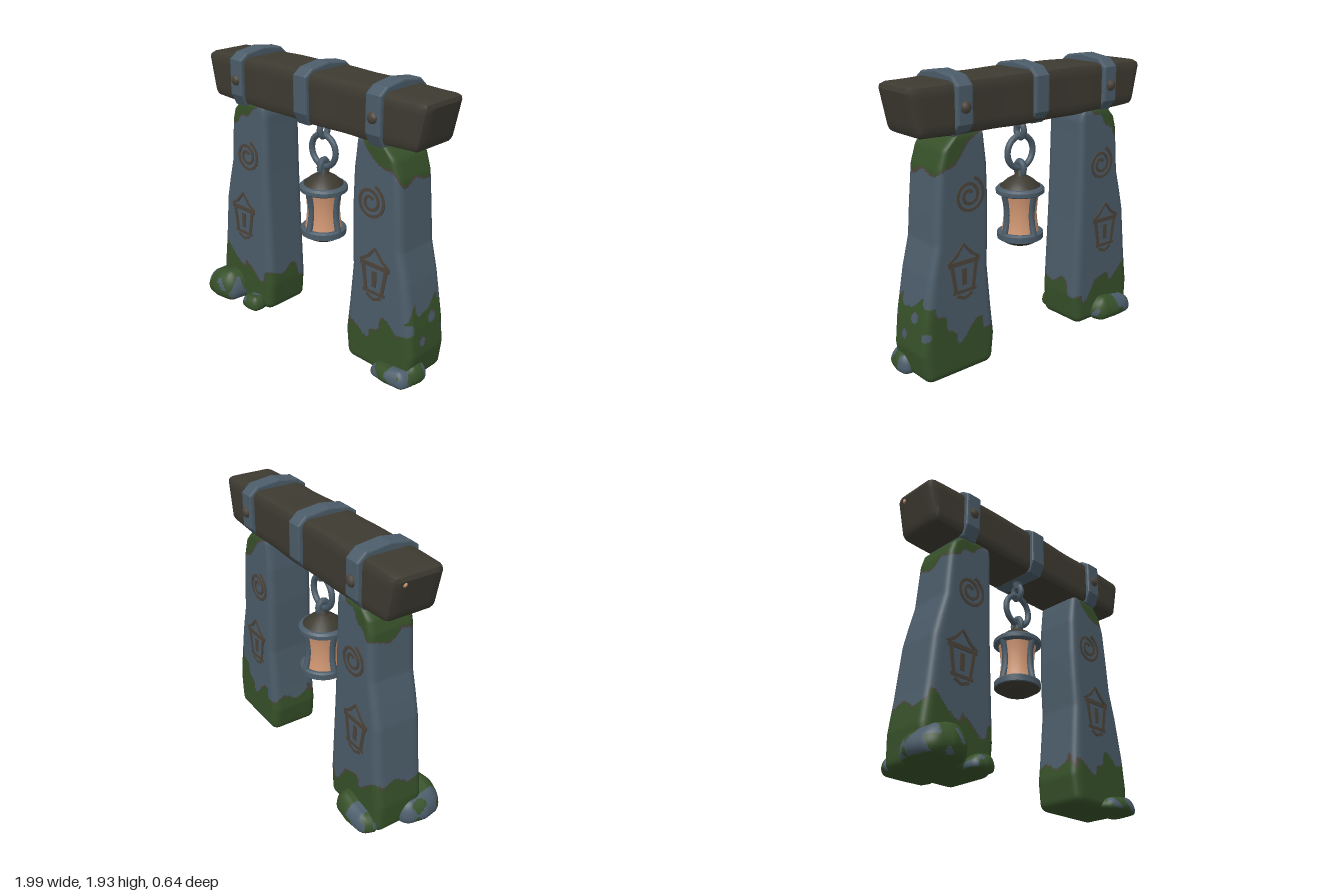
import * as THREE from 'three';
import { mergeVertices, toCreasedNormals } from 'three/addons/utils/BufferGeometryUtils.js';

const MID_Z = -0.035;
const material = (name, color) => Object.assign(new THREE.MeshStandardMaterial({ color }), { name });
const { clamp, lerp, smoothstep } = THREE.MathUtils;

// Rounded block, subdivided, whose vertices are then moved by a rule
function block(w, h, d, segs, r, rule) {
  let g = new THREE.BoxGeometry(w, h, d, ...segs);
  g.deleteAttribute('uv');
  g.deleteAttribute('normal');
  g.clearGroups();
  g = mergeVertices(g, 1e-4);
  const pos = g.attributes.position;
  const p = new THREE.Vector3(), q = new THREE.Vector3();
  const inner = new THREE.Vector3(w / 2 - r, h / 2 - r, d / 2 - r);
  const low = inner.clone().negate();
  for (let i = 0; i < pos.count; i++) {
    p.fromBufferAttribute(pos, i);
    q.copy(p).clamp(low, inner);
    p.sub(q);
    if (p.length() > r) p.setLength(r);
    p.add(q);
    rule(p);
    pos.setXYZ(i, p.x, p.y, p.z);
  }
  g.computeVertexNormals();
  return g;
}

// Sort faces into material groups by a rule on the face centre
function paint(g, pick) {
  const pos = g.attributes.position, idx = g.index.array, buckets = [[], [], []];
  const c = new THREE.Vector3(), v = new THREE.Vector3();
  for (let i = 0; i < idx.length; i += 3) {
    c.set(0, 0, 0);
    for (let k = 0; k < 3; k++) c.add(v.fromBufferAttribute(pos, idx[i + k]));
    buckets[pick(c.divideScalar(3))].push(idx[i], idx[i + 1], idx[i + 2]);
  }
  g.setIndex(buckets.flat());
  let start = 0;
  buckets.forEach((b, m) => { g.addGroup(start, b.length, m); start += b.length; });
  return g;
}

const noise = (p) => (Math.sin(17 * p.x + 7 * p.z + 1) + Math.sin(31 * p.z - 23 * p.x + 2)
  + 0.8 * Math.sin(29 * p.y + 37 * p.x + 11 * p.z)) / 2.4;

// Positive where moss grows on a pillar
function mossField(p) {
  const ax = Math.abs(p.x), n = noise(p);
  const side = p.x > 0 ? smoothstep(p.x, 0.82, 0.92) : 0;
  let base = 0.29 + 0.09 * n + 0.1 * clamp((ax - 0.6) / 0.3, -0.4, 1) + 0.16 * side - p.y;
  if (p.y > 0.2) base -= 0.5 * side * Math.max(0, Math.sin(27 * p.y + 4 * p.z) * Math.sin(29 * p.z + 1) - 0.25);
  const top = p.y - (1.52 - 0.15 * (ax - 0.55) / 0.2 + 0.04 * n);
  return Math.max(base, top);
}

// Flat raised line following 2D points
function stroke(points, width, mat) {
  const a = [], b = [];
  points.forEach((p, i) => {
    const t = points[Math.min(i + 1, points.length - 1)].clone().sub(points[Math.max(i - 1, 0)]).setLength(width / 2);
    a.push(new THREE.Vector2(p.x - t.y, p.y + t.x));
    b.unshift(new THREE.Vector2(p.x + t.y, p.y - t.x));
  });
  const g = new THREE.ExtrudeGeometry(new THREE.Shape([...a, ...b]), { depth: 0.009, bevelEnabled: false });
  return new THREE.Mesh(g, mat);
}

// Pillar outlines: height, left x, right x
const OUTLINES = {
  rightPillar: [[0, -0.9, -0.37], [0.22, -0.91, -0.35], [0.45, -0.88, -0.36], [0.8, -0.845, -0.375],
    [0.95, -0.81, -0.38], [1.1, -0.77, -0.385], [1.42, -0.745, -0.39], [1.5, -0.72, -0.39], [1.59, -0.63, -0.41]],
  leftPillar: [[0, 0.41, 0.93], [0.2, 0.385, 0.955], [0.4, 0.405, 0.935], [0.7, 0.43, 0.88],
    [0.9, 0.42, 0.83], [1.1, 0.415, 0.815], [1.36, 0.42, 0.79], [1.48, 0.435, 0.75], [1.59, 0.45, 0.64]],
};

function span(table, y) {
  let i = 1;
  while (i < table.length - 1 && table[i][0] < y) i++;
  const [a, b] = [table[i - 1], table[i]], t = clamp((y - a[0]) / (b[0] - a[0]), 0, 1);
  return [lerp(a[1], b[1], t), lerp(a[2], b[2], t)];
}

export function createModel() {
  const stone = material('blue grey stone', 0x4b5c69);
  const moss = material('moss green', 0x365029);
  const earth = material('carved brown', 0x4b443b);
  const wood = material('dark wood', 0x3d3a31);
  const glow = material('lantern glow', 0xd09672);
  const model = new THREE.Group();
  const add = (parent, name, geometry, mat, x = 0, y = 0, z = 0) => {
    const m = new THREE.Mesh(geometry, mat);
    m.name = name;
    m.position.set(x, y, z);
    parent.add(m);
    return m;
  };
  const pts = (...list) => list.map(([x, y]) => new THREE.Vector2(x, y));

  // Stone pillars with mossy feet and tops
  for (const [name, table] of Object.entries(OUTLINES)) {
    const g = block(0.5, 1.59, 0.37, [34, 106, 24], 0.055, (p) => {
      const y = p.y + 0.795, [x0, x1] = span(table, y);
      p.set((x0 + x1) / 2 + p.x / 0.25 * (x1 - x0) / 2, y, MID_Z + p.z * (1 - 0.07 * y));
    });
    paint(g, (p) => { const f = mossField(p); return f > 0 ? 1 : f > -0.012 ? 2 : 0; });
    add(model, name, g, [stone, moss, earth]);
  }

  // Carvings on the front and back of both pillars
  const spiral = Array.from({ length: 50 }, (_, i) => {
    const t = i / 49, r = 0.025 + 0.09 * t, a = 0.6 + t * Math.PI * 4.2;
    return new THREE.Vector2(r * Math.cos(a), r * Math.sin(a));
  });
  const emblem = [
    [pts([-0.12, 0.1], [-0.06, 0.14], [0, 0.21], [0.06, 0.14], [0.12, 0.1]), 0.02],
    [pts([-0.12, 0.09], [0.12, 0.09]), 0.03],
    [pts([-0.095, 0.09], [-0.065, -0.1]), 0.026],
    [pts([0.095, 0.09], [0.065, -0.1]), 0.026],
    [pts([-0.09, -0.1], [0.09, -0.1]), 0.022],
    [pts([-0.06, -0.125], [0, -0.15], [0.06, -0.125]), 0.022],
    [pts([0, -0.06], [0, -0.02], [0, 0.05]), 0.036],
  ];
  for (const s of [-1, 1]) for (const face of [1, -1]) {
    const place = (name, x, y, strokes) => {
      const c = new THREE.Group();
      c.name = name;
      c.position.set(s * x, y, MID_Z + face * (0.185 * (1 - 0.07 * y) - 0.003));
      c.rotation.y = face > 0 ? 0 : Math.PI;
      strokes.forEach(([p, w]) => c.add(stroke(p, w, earth)));
      model.add(c);
    };
    place('spiralCarving', 0.58, 1.18, [[spiral, 0.02]]);
    place('lanternCarving', 0.635, 0.67, emblem);
  }

  // Rocks at the pillar feet: x, z, width, height, depth
  const rocks = [[-0.81, 0.13, 0.38, 0.2, 0.39], [-0.51, 0.17, 0.2, 0.1, 0.18], [-0.7, -0.22, 0.4, 0.15, 0.22],
    [0.81, 0.13, 0.34, 0.1, 0.22], [0.9, 0.06, 0.2, 0.13, 0.2]];
  for (const [x, z, w, h, d] of rocks) {
    const g = block(w, h, d, [20, 10, 20], h * 0.46, (p) => {
      const t = p.y / h + 0.5, k = 1 - 0.25 * t * t;
      const round = 1 - 0.22 * Math.abs(p.x / w * 2) * Math.abs(p.z / d * 2);
      p.set(x + p.x * k * round, Math.max(0, t * h * (1.04 + 0.12 * Math.sin(9 * p.x + 5 * p.z))), z + p.z * k * round);
    });
    paint(g, (p) => (noise(p) + 0.15 > 0 || p.y < 0.015 ? 1 : 0));
    add(model, 'footRock', g, [stone, moss, earth]);
  }

  // Wooden lintel with slanted ends
  const lintel = block(1.9, 0.32, 0.37, [48, 8, 8], 0.045, (p) => {
    const u = p.x / 0.95, end = u ** 6;
    p.x += Math.sign(u) * end * (0.035 * p.y / 0.16 - 0.01);
    p.y *= 1.06 - 0.1 * u * u + 0.012 * Math.sin(p.x * 14);
    p.z *= 1 - 0.03 * end + 0.015 * Math.sin(p.x * 11 + 1);
  });
  add(model, 'lintel', toCreasedNormals(lintel, 0.5), wood, 0.015, 1.72, -0.03);
  add(model, 'emberSpot', new THREE.SphereGeometry(0.018, 12, 8), glow, -0.937, 1.815, -0.13);

  // Bands around the lintel, with studs on the outer two
  const outline = new THREE.Shape(pts([-0.14, 1.56], [0.18, 1.56], [0.235, 1.63], [0.235, 1.85], [0.18, 1.9],
    [0.02, 1.92], [-0.12, 1.9], [-0.175, 1.86], [-0.175, 1.63]));
  const band = new THREE.ExtrudeGeometry(outline,
    { depth: 0.09, bevelThickness: 0.014, bevelSize: 0.012, bevelSegments: 2 });
  band.translate(0, 0, -0.045).rotateY(Math.PI / 2);
  band.scale(1, 1, 1);
  for (const x of [-0.61, 0.01, 0.62]) {
    add(model, 'lintelBand', band, stone, x);
    if (Math.abs(x) > 0.1) for (const z of [0.185, -0.247]) {
      add(model, 'bandStud', new THREE.SphereGeometry(0.038, 8, 6), earth, x, 1.73, z).scale.z = 0.65;
    }
  }

  // Hanging lantern
  const lantern = new THREE.Group();
  lantern.name = 'lantern';
  lantern.position.set(0.015, 0, -0.03);
  model.add(lantern);
  add(lantern, 'hangingRing', new THREE.TorusGeometry(0.11, 0.021, 10, 32), stone, 0, 1.33);
  for (const [y, n] of [[1.475, 'upperLink'], [1.215, 'lowerLink']]) {
    const link = add(lantern, n, new THREE.TorusGeometry(0.036, 0.021, 8, 18), stone, 0, y);
    link.rotation.y = Math.PI / 2;
    link.scale.y = 1.25;
  }
  add(lantern, 'hookMount', new THREE.CylinderGeometry(0.04, 0.025, 0.06, 12), stone, 0, 1.53);
  const turned = (name, mat, list) =>
    add(lantern, name, toCreasedNormals(new THREE.LatheGeometry(pts(...list), 24), 0.6), mat);
  turned('roof', wood, [[0.14, 1.085], [0.135, 1.1], [0.09, 1.14], [0.04, 1.17], [0.025, 1.21], [0, 1.21]]);
  turned('roofRim', stone, [[0, 1.045], [0.15, 1.045], [0.165, 1.055], [0.165, 1.08], [0.15, 1.095], [0.12, 1.1]]);
  turned('glass', glow, [[0.13, 0.77], [0.12, 0.82], [0.112, 0.91], [0.12, 1.0], [0.13, 1.05]]);
  turned('baseRim', stone, [[0.14, 0.725], [0.158, 0.735], [0.158, 0.775], [0.145, 0.785], [0, 0.785]]);
  turned('base', wood, [[0, 0.675], [0.05, 0.68], [0.1, 0.7], [0.15, 0.73]]);
  const bow = new THREE.CatmullRomCurve3([[0.14, 0.77], [0.118, 0.86], [0.114, 0.92], [0.12, 0.98], [0.14, 1.06]]
    .map(([x, y]) => new THREE.Vector3(x, y, 0)));
  for (let i = 0; i < 4; i++) {
    add(lantern, 'cagePost', new THREE.TubeGeometry(bow, 12, 0.022, 8), stone).rotation.y = i * Math.PI / 2;
  }
  return model;
}
